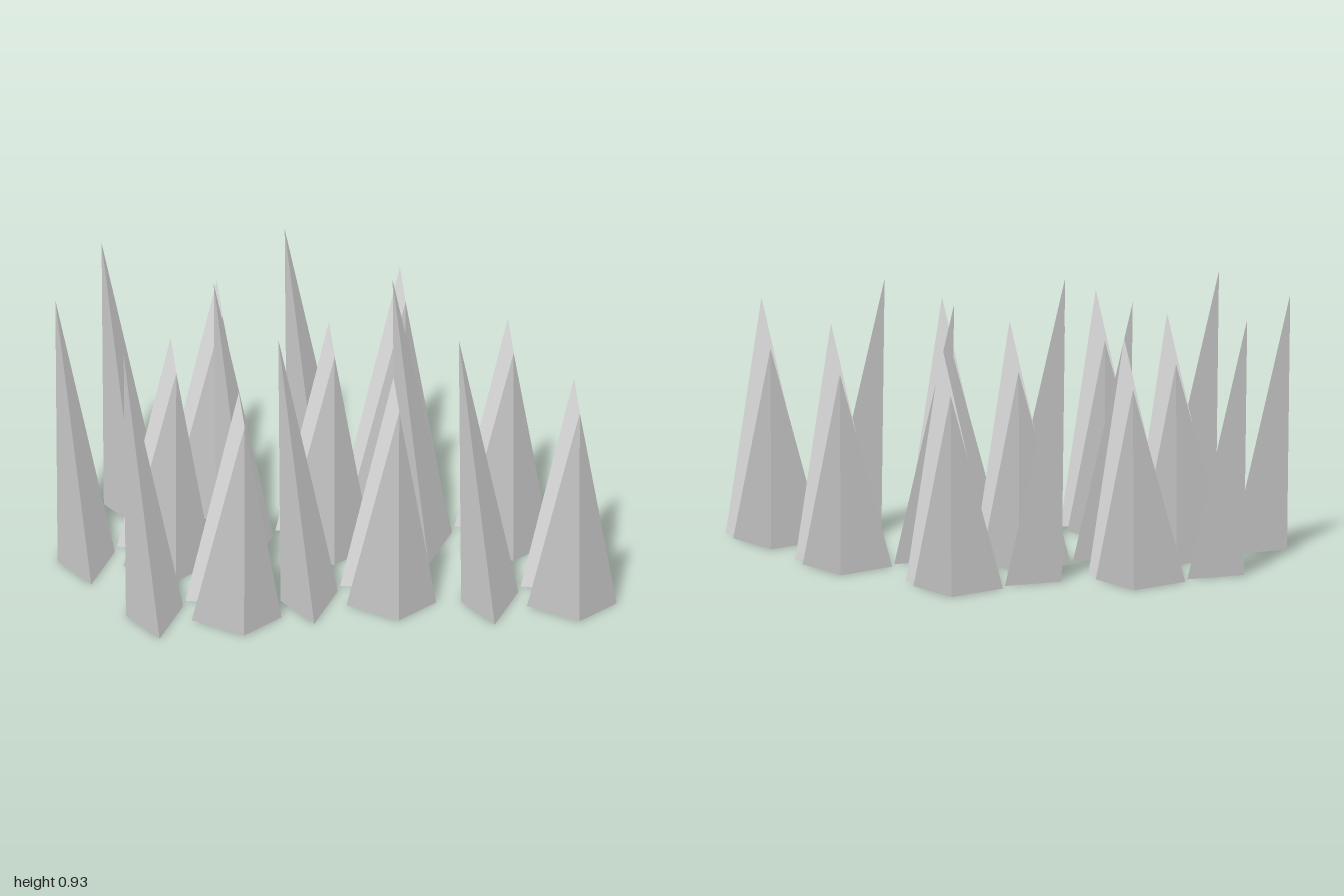
import * as THREE from 'three';
import { ConvexGeometry } from 'three/addons/geometries/ConvexGeometry.js';

// Each blade: leaning tip [x, y, z] and three ground corners [x, z], relative to its tuft
const BLADES = {
  tallBlade: { tip: [0, 0.925, 0], base: [[0.214, 0.032], [0.179, 0.317], [0.032, 0.144]] },
  middleBlade: { tip: [0.468, 0.8, 0.262], base: [[0.263, 0.144], [0.565, 0.069], [0.463, 0.241]] },
  shortBlade: { tip: [0.367, 0.71, -0.222], base: [[0.214, -0.014], [0.527, -0.014], [0.367, -0.204]] },
};

// Ground position [x, z] of each tuft
const TUFTS = [
  [-0.316, -0.618], [-0.922, -0.401], [-0.482, -0.122], [0.123, -0.257],
  [-1.0, 0.102], [-0.185, 0.3], [0.432, 0.204], [-0.692, 0.512],
];

export function createModel() {
  const grass = new THREE.Group();
  grass.name = 'grassPatch';
  const material = new THREE.MeshStandardMaterial({ color: 0xcccccc, flatShading: true });

  // Closed four-sided spike for each kind of blade, shared by all tufts
  const blades = Object.entries(BLADES).map(([name, { tip, base }]) => {
    const points = [new THREE.Vector3(...tip), ...base.map(([x, z]) => new THREE.Vector3(x, 0, z))];
    return { name, geometry: new ConvexGeometry(points) };
  });

  // Identical tufts of three blades
  TUFTS.forEach(([x, z], i) => {
    const tuft = new THREE.Group();
    tuft.name = `tuft${i + 1}`;
    tuft.position.set(x, 0, z);
    for (const { name, geometry } of blades) {
      const blade = new THREE.Mesh(geometry, material);
      blade.name = name;
      tuft.add(blade);
    }
    grass.add(tuft);
  });
  return grass;
}
